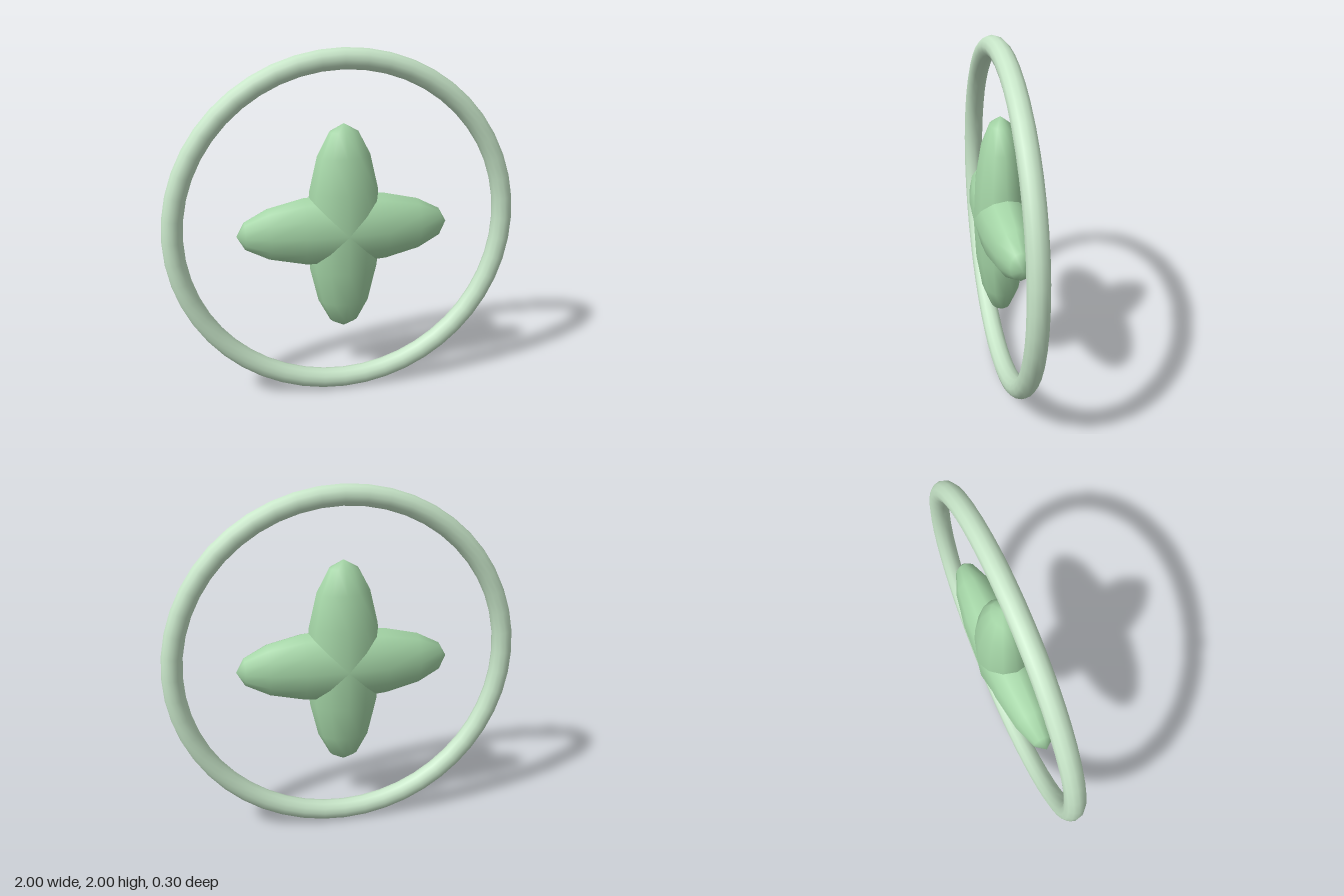
import * as THREE from 'three';

export function createModel() {
  const group = new THREE.Group();
  const paleGreen = new THREE.MeshStandardMaterial({ color: 0xc8e6c9 });
  paleGreen.name = 'pale green';
  const leafGreen = new THREE.MeshStandardMaterial({ color: 0xa5d6a7 });
  leafGreen.name = 'leaf green';

  // Upright outer ring
  const ring = new THREE.Mesh(new THREE.TorusGeometry(0.9425, 0.0575, 12, 48), paleGreen);
  ring.name = 'ring';
  ring.position.y = 1;
  group.add(ring);

  // Two crossed, flattened ellipsoids make the four-petalled star
  const petalGeometry = new THREE.SphereGeometry(1, 12, 8).scale(0.21, 0.6, 0.15);
  ['verticalPetals', 'horizontalPetals'].forEach((name, i) => {
    const petals = new THREE.Mesh(petalGeometry, leafGreen);
    petals.name = name;
    petals.position.y = 1;
    petals.rotation.z = i * Math.PI / 2;
    group.add(petals);
  });

  return group;
}
